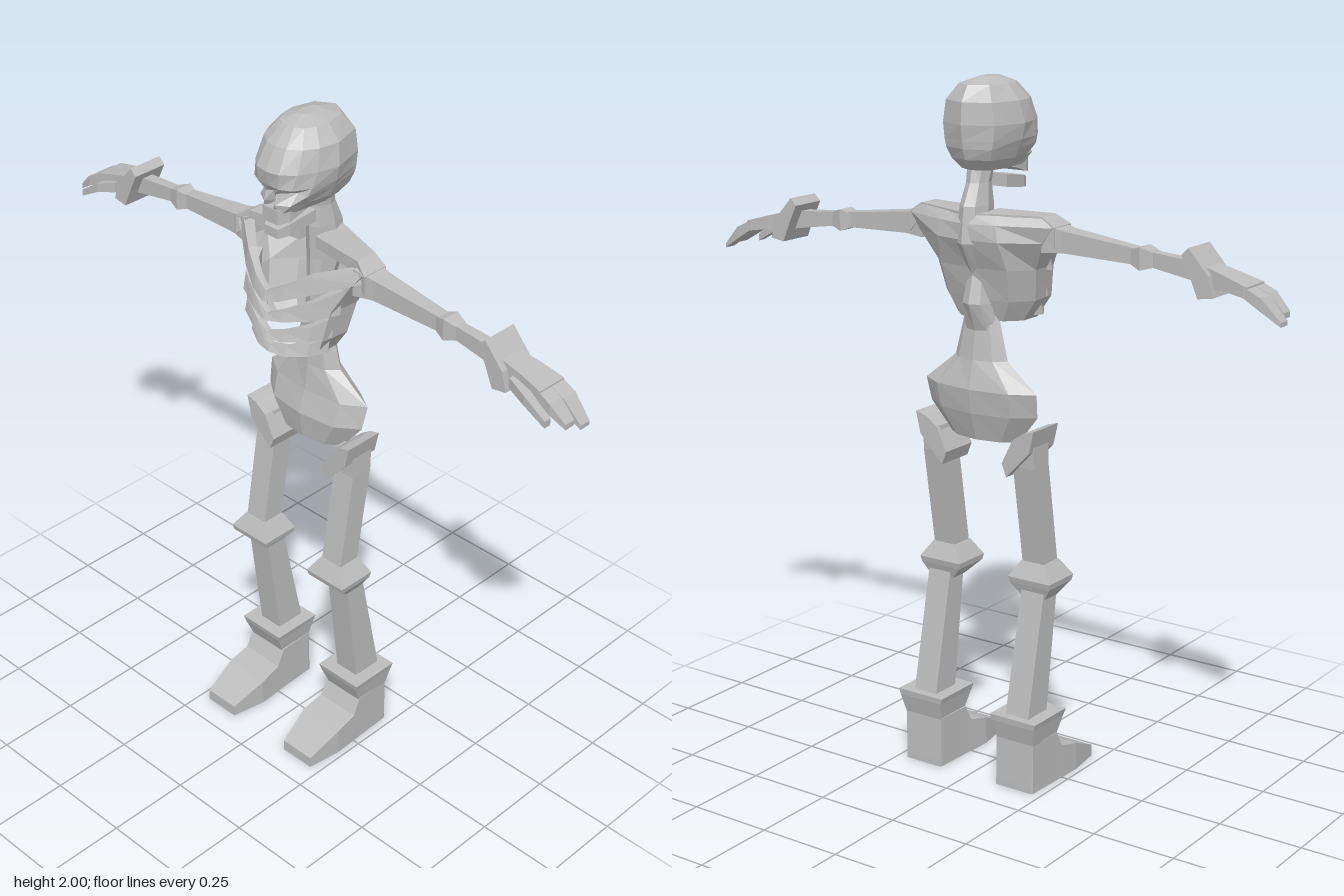
import * as THREE from 'three';

const bone = new THREE.MeshStandardMaterial({ color: 0xbcbcbc, flatShading: true, side: THREE.DoubleSide });
bone.name = 'bone grey';

// Joins cross-sections (arrays of [x, y, z]) into a faceted solid, or an open shell.
function loft(name, rings, open = false) {
  const n = rings[0].length, tris = [];
  for (let i = 0; i + 1 < rings.length; i++) {
    for (let j = 0; j < (open ? n - 1 : n); j++) {
      const k = (j + 1) % n;
      const a = rings[i][j], b = rings[i][k], c = rings[i + 1][k], d = rings[i + 1][j];
      tris.push([a, b, c], [a, c, d]);
    }
  }
  if (!open) {
    for (const [ring, flip] of [[rings[0], true], [rings[rings.length - 1], false]]) {
      const mid = [0, 1, 2].map(q => ring.reduce((s, p) => s + p[q], 0) / n);
      ring.forEach((p, j) => {
        const next = ring[(j + 1) % n];
        tris.push(flip ? [mid, next, p] : [mid, p, next]);
      });
    }
  }
  // turn the faces outward
  const o = new THREE.Vector3(...rings[0][0]);
  const v = p => new THREE.Vector3(...p).sub(o);
  const volume = tris.reduce((s, [a, b, c]) => s + v(a).dot(v(b).cross(v(c))), 0);
  if (volume < 0) tris.forEach(t => t.reverse());
  const geo = new THREE.BufferGeometry();
  geo.setAttribute('position', new THREE.Float32BufferAttribute(tris.flat(2), 3));
  geo.computeVertexNormals();
  const mesh = new THREE.Mesh(geo, bone);
  mesh.name = name;
  return mesh;
}

// Symmetric horizontal ring from half an outline of [x, z], front centre to back centre.
const mirrorRing = (y, half) => [
  ...half.map(([x, z]) => [x, y, z]),
  ...half.slice(1, -1).reverse().map(([x, z]) => [-x, y, z]),
];
// Eight-sided ring from half width and front/back z.
const ovalRing = (y, w, f, b) => {
  const d = f - b;
  return mirrorRing(y, [[0, f], [w * 0.65, f - d * 0.12], [w, f - d * 0.5], [w * 0.65, b + d * 0.15], [0, b]]);
};
// Rectangular rings across y, z and x.
const rectY = s => ([y, x0, x1, z0, z1]) => [[s * x0, y, z0], [s * x1, y, z0], [s * x1, y, z1], [s * x0, y, z1]];
const rectZ = s => ([z, x0, x1, y0, y1]) => [[s * x0, y0, z], [s * x1, y0, z], [s * x1, y1, z], [s * x0, y1, z]];
const rectX = s => ([x, y0, y1, z0, z1]) => [[s * x, y0, z0], [s * x, y1, z0], [s * x, y1, z1], [s * x, y0, z1]];
// Front-facing polygon given depth.
const slab = (name, s, pts, z0, z1) => loft(name, [z0, z1].map(z => pts.map(([x, y]) => [s * x, y, z])));

function buildHead() {
  const head = new THREE.Group();
  head.name = 'head';
  // skull with eye sockets, nose cavity and overhanging brow
  head.add(loft('skull', [
    mirrorRing(1.755, [[0, .105], [.03, .1], [.045, .06], [.05, .01], [.055, -.04], [.045, -.1], [0, -.12]]),
    mirrorRing(1.785, [[0, .085], [.02, .112], [.055, .09], [.072, .04], [.082, -.03], [.065, -.12], [0, -.147]]),
    mirrorRing(1.815, [[0, .095], [.018, .105], [.055, .06], [.088, .06], [.095, -.03], [.075, -.13], [0, -.157]]),
    mirrorRing(1.837, [[0, .115], [.035, .115], [.068, .098], [.095, .05], [.105, -.03], [.08, -.13], [0, -.16]]),
    mirrorRing(1.88, [[0, .125], [.04, .117], [.076, .085], [.1, .035], [.114, -.03], [.085, -.13], [0, -.166]]),
    mirrorRing(1.94, [[0, .09], [.035, .085], [.07, .06], [.092, .02], [.102, -.04], [.075, -.13], [0, -.162]]),
    mirrorRing(1.983, [[0, .045], [.022, .042], [.045, .03], [.06, 0], [.066, -.04], [.05, -.105], [0, -.135]]),
    mirrorRing(2, [[0, 0], [.008, 0], [.014, -.01], [.018, -.02], [.02, -.03], [.015, -.06], [0, -.07]]),
  ]));
  head.add(loft('upperTeeth', [
    [.11, -.028, .028, 1.728, 1.77], [.08, -.044, .044, 1.732, 1.77], [.02, -.046, .046, 1.75, 1.77],
  ].map(rectZ(1))));
  head.add(loft('lowerJaw', [
    [.106, -.024, .024, 1.685, 1.712], [.075, -.038, .038, 1.688, 1.722], [-.015, -.045, .045, 1.7, 1.735],
  ].map(rectZ(1))));
  return head;
}

function buildTorso() {
  const torso = new THREE.Group();
  torso.name = 'torso';
  torso.add(loft('spine', [
    ovalRing(1.78, .04, -.035, -.11), ovalRing(1.72, .033, -.045, -.125), ovalRing(1.66, .04, -.035, -.155),
    ovalRing(1.56, .045, -.04, -.166), ovalRing(1.47, .035, -.04, -.115), ovalRing(1.39, .045, -.04, -.135),
    ovalRing(1.31, .055, -.04, -.105),
  ]));
  torso.add(loft('pelvis', [
    ovalRing(1.36, .055, -.04, -.1), ovalRing(1.23, .088, -.03, -.115), ovalRing(1.15, .187, -.02, -.135),
    ovalRing(1.08, .18, 0, -.125), ovalRing(1.0, .115, -.01, -.1),
  ]));

  // open shell of the back, wrapping round to the sides
  const shellRing = (y, half) => [
    ...half.slice(1).reverse().map(([x, z]) => [-x, y, z]), ...half.map(([x, z]) => [x, y, z]),
  ];
  torso.add(loft('ribcageBack', [
    shellRing(1.34, [[0, -.08], [.07, -.07], [.11, -.03], [.11, .04]]),
    shellRing(1.4, [[0, -.1], [.1, -.085], [.15, -.03], [.142, .06]]),
    shellRing(1.49, [[0, -.12], [.11, -.11], [.165, -.05], [.158, .045]]),
    shellRing(1.57, [[0, -.155], [.1, -.14], [.205, -.08], [.2, .02]]),
    shellRing(1.615, [[0, -.155], [.09, -.135], [.235, -.08], [.232, .005]]),
    shellRing(1.643, [[0, -.14], [.08, -.115], [.2, -.075], [.2, -.015]]),
  ], true));
  for (const s of [1, -1]) {
    torso.add(loft('shoulderTop', [
      [.03, 1.61, 1.643, -.135, -.03], [.2, 1.605, 1.643, -.078, -.01], [.24, 1.56, 1.617, -.078, .005],
    ].map(rectX(s))));
  }

  // collarbone and ribs: [x, y, z, height] from the side to the breastbone
  const bands = {
    collarbone: [[.228, 1.605, .0, .035], [.12, 1.57, .085, .05], [.05, 1.535, .125, .04], [0, 1.515, .138, .03]],
    upperRib: [[.17, 1.515, .02, .07], [.125, 1.495, .09, .05], [.05, 1.465, .122, .03], [0, 1.45, .135, .018]],
    middleRib: [[.15, 1.435, .03, .06], [.12, 1.425, .09, .04], [.05, 1.402, .122, .028], [0, 1.393, .135, .018]],
    lowerRib: [[.135, 1.375, .03, .05], [.105, 1.365, .08, .035], [.05, 1.35, .11, .025], [0, 1.347, .122, .018]],
  };
  for (const [name, half] of Object.entries(bands)) {
    const path = [...half, ...half.slice(0, -1).reverse().map(([x, y, z, h]) => [-x, y, z, h])];
    torso.add(loft(name, path.map(([x, y, z, h]) => [
      [x, y - h / 2, z], [x, y + h / 2, z - .01],
      [x * .88, y + h / 2, z - .028], [x * .88, y - h / 2, z - .022],
    ])));
  }
  return torso;
}

function buildArm(s) {
  const arm = new THREE.Group();
  arm.name = s > 0 ? 'leftArm' : 'rightArm';
  const add = (name, rows) => arm.add(loft(name, rows.map(rectX(s))));
  add('upperArm', [[.2, 1.545, 1.625, -.078, .005], [.26, 1.55, 1.61, -.07, -.008], [.48, 1.542, 1.585, -.058, -.022]]);
  add('elbow', [[.465, 1.543, 1.582, -.058, -.022], [.5, 1.53, 1.592, -.068, -.013], [.535, 1.54, 1.58, -.058, -.022]]);
  add('forearm', [[.53, 1.54, 1.58, -.055, -.025], [.69, 1.515, 1.568, -.058, -.02]]);
  arm.children.at(-1).name = 'forearm';
  arm.add(slab('wristCuff', s, [[.66, 1.612], [.64, 1.592], [.668, 1.535], [.675, 1.48], [.728, 1.488], [.74, 1.51], [.715, 1.575]].slice(0, 3)
    .concat([[.69, 1.483], [.735, 1.49], [.72, 1.545]]), -.095, .015));
  // palm and curled fingers
  add('palm', [[.7, 1.51, 1.565, -.075, -.005], [.76, 1.51, 1.55, -.085, -.005], [.83, 1.5, 1.53, -.094, 0]]);
  add('outerFingers', [[.82, 1.502, 1.53, -.094, -.045], [.87, 1.472, 1.507, -.092, -.045], [.925, 1.438, 1.45, -.085, -.05]]);
  add('innerFingers', [[.82, 1.502, 1.53, -.045, 0], [.865, 1.478, 1.51, -.043, .003], [.91, 1.45, 1.465, -.042, -.008]]);
  add('thumb', [[.74, 1.505, 1.535, -.025, .01], [.8, 1.49, 1.518, -.005, .026], [.87, 1.452, 1.472, .002, .025]]);
  return arm;
}

function buildLeg(s) {
  const leg = new THREE.Group();
  leg.name = s > 0 ? 'leftLeg' : 'rightLeg';
  const add = (name, rows) => leg.add(loft(name, rows.map(rectY(s))));
  leg.add(slab('hipJoint', s, [[.2, 1.055], [.165, 1.045], [.13, 1.02], [.095, .95], [.11, .912], [.185, .99]], -.112, .01));
  add('thigh', [[1.02, .125, .188, -.095, -.02], [.94, .118, .19, -.09, -.02], [.64, .118, .19, -.04, .028]]);
  add('knee', [[.652, .115, .193, -.045, .03], [.605, .085, .225, -.066, .056], [.588, .088, .222, -.062, .052], [.552, .12, .2, -.05, .008]]);
  add('shin', [[.575, .125, .2, -.055, .01], [.2, .123, .2, -.135, -.04]]);
  add('ankleCuff', [[.218, .085, .24, -.156, .002], [.2, .09, .235, -.154, -.002], [.145, .1, .225, -.14, -.024]]);
  // foot: heel to toe
  leg.add(loft('foot', [
    [-.145, .1, .22, 0, .02], [-.14, .098, .224, 0, .15], [-.026, .094, .228, 0, .15],
    [0, .092, .23, 0, .1], [.07, .088, .232, 0, .082], [.175, .108, .218, 0, .035],
  ].map(rectZ(s))));
  return leg;
}

export function createModel() {
  const model = new THREE.Group();
  model.name = 'skeleton';
  model.add(buildHead(), buildTorso());
  for (const s of [1, -1]) model.add(buildArm(s), buildLeg(s));
  return model;
}
